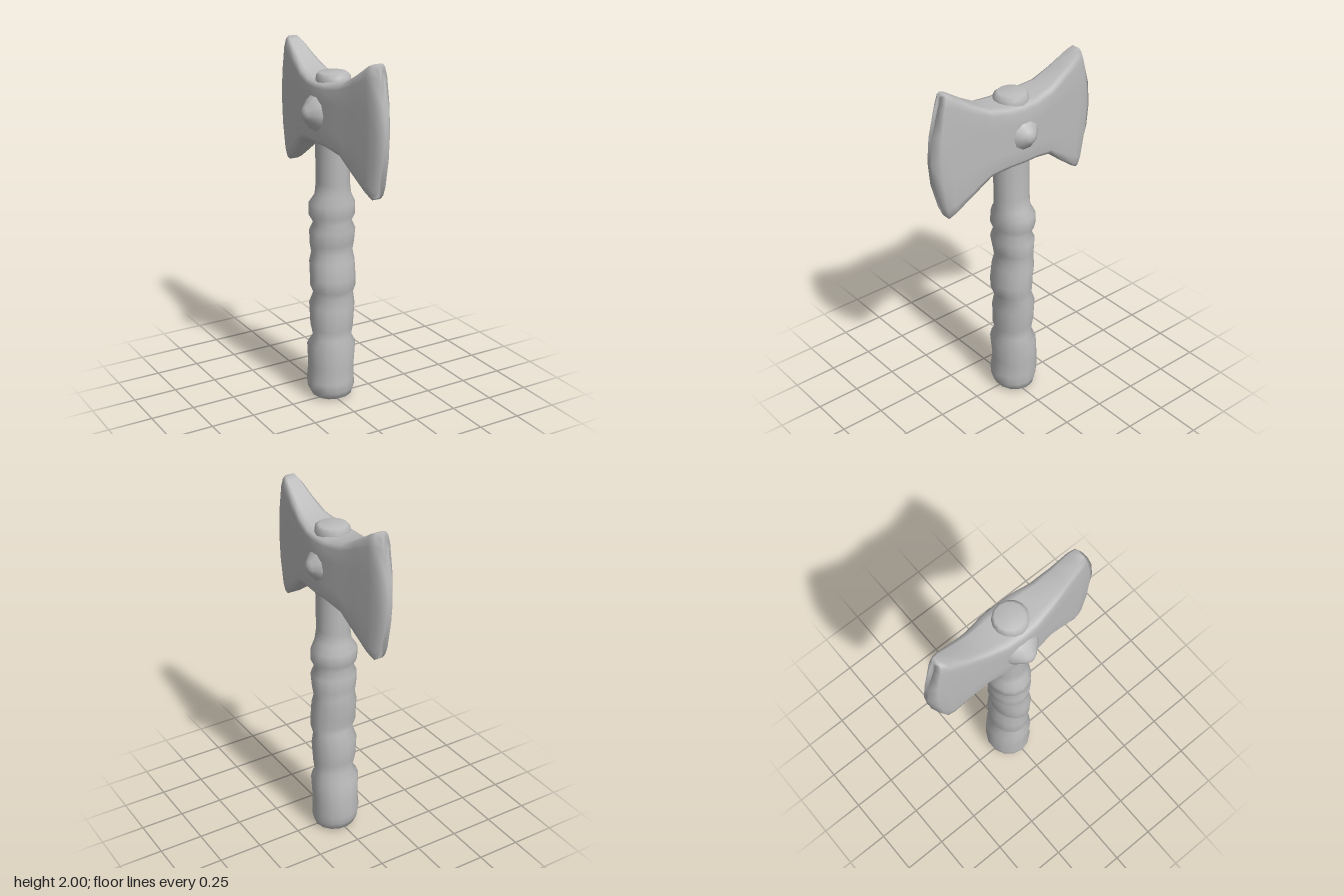
import * as THREE from 'three';

// Skin a list of equal-length point rings and close both ends.
function loft(rings) {
  const n = rings[0].length, pos = [], idx = [];
  for (const ring of rings) for (const p of ring) pos.push(...p);
  for (let i = 0; i < rings.length - 1; i++) {
    for (let j = 0; j < n; j++) {
      const a = i * n + j, b = i * n + (j + 1) % n;
      idx.push(a, a + n, b, b, a + n, b + n);
    }
  }
  for (const end of [0, rings.length - 1]) {
    const c = pos.length / 3, ring = rings[end];
    for (let k = 0; k < 3; k++) pos.push(ring.reduce((s, p) => s + p[k], 0) / n);
    for (let j = 0; j < n; j++) {
      const a = end * n + j, b = end * n + (j + 1) % n;
      if (end === 0) idx.push(c, a, b); else idx.push(c, b, a);
    }
  }
  const g = new THREE.BufferGeometry();
  g.setAttribute('position', new THREE.Float32BufferAttribute(pos, 3));
  g.setIndex(idx);
  g.computeVertexNormals();
  return g;
}

// Handle ring from its extents; tilt slants the wrapped grip.
function handleRing([y, x0, x1, z0, z1, tilt = 0]) {
  return Array.from({ length: 14 }, (_, j) => {
    const a = j / 14 * Math.PI * 2;
    const z = (z0 + z1) / 2 + Math.sin(a) * (z1 - z0) / 2;
    return [(x0 + x1) / 2 + Math.cos(a) * (x1 - x0) / 2, y - tilt * z, z];
  });
}

// Half outline of a blade section: thickness factor, height from -1 to 1.
const half = [[0.6, 1], [0.88, 0.95], [1, 0.82], [1, 0.4], [1, 0],
  [1, -0.4], [1, -0.82], [0.88, -0.95], [0.6, -1]];
const outline = [...half, ...half.map(([x, q]) => [-x, q]).reverse()];

function bladeRing([zTip, zMid, top, bottom, t], side) {
  return outline.map(([x, q]) => [
    0.01 + x * t,
    (top + bottom) / 2 + q * (top - bottom) / 2,
    side * (zMid + (zTip - zMid) * q * q),
  ]);
}

export function createModel() {
  const model = new THREE.Group();
  const stone = new THREE.MeshStandardMaterial({ color: 0xbcbcbc });
  stone.name = 'plain grey';
  const add = (name, geometry) => {
    const mesh = new THREE.Mesh(geometry, stone);
    mesh.name = name;
    model.add(mesh);
    return mesh;
  };

  // Wrapped grip, pommel and shaft: y, x range, z range, tilt
  add('handle', loft([
    [0.005, -0.08, 0.10, -0.10, 0.07],
    [0.02, -0.105, 0.13, -0.13, 0.095],
    [0.06, -0.125, 0.14, -0.145, 0.113],
    [0.11, -0.13, 0.14, -0.153, 0.115],
    [0.20, -0.12, 0.142, -0.148, 0.105],
    [0.33, -0.132, 0.147, -0.138, 0.113],
    [0.375, -0.10, 0.125, -0.105, 0.085, 0.1],
    [0.44, -0.113, 0.132, -0.122, 0.10, 0.15],
    [0.57, -0.12, 0.143, -0.125, 0.10, 0.2],
    [0.635, -0.10, 0.134, -0.10, 0.085, 0.2],
    [0.68, -0.122, 0.142, -0.105, 0.105, 0.2],
    [0.74, -0.122, 0.14, -0.11, 0.112, 0.1],
    [0.83, -0.12, 0.14, -0.12, 0.10],
    [0.88, -0.106, 0.13, -0.115, 0.087],
    [0.93, -0.117, 0.138, -0.115, 0.092],
    [1.01, -0.12, 0.14, -0.122, 0.11],
    [1.055, -0.10, 0.12, -0.10, 0.09],
    [1.095, -0.12, 0.14, -0.126, 0.108],
    [1.165, -0.12, 0.14, -0.126, 0.107],
    [1.21, -0.09, 0.112, -0.10, 0.098],
    [1.28, -0.08, 0.10, -0.10, 0.098],
    [1.50, -0.085, 0.10, -0.10, 0.105],
    [1.83, -0.085, 0.105, -0.09, 0.10],
    [1.865, -0.08, 0.10, -0.088, 0.098],
    [1.88, -0.065, 0.085, -0.075, 0.075],
  ].map(handleRing)));

  // Double blade, mirrored front to back: z at tips, z at middle, top, bottom, half thickness
  const sections = [
    [0.09, 0.09, 1.845, 1.50, 0.112],
    [0.20, 0.20, 1.865, 1.475, 0.09],
    [0.30, 0.31, 1.92, 1.395, 0.072],
    [0.40, 0.42, 1.985, 1.32, 0.056],
    [0.435, 0.485, 2.0, 1.30, 0.043],
    [0.45, 0.53, 1.985, 1.315, 0.012],
  ];
  // Outline turns from +y to -y on the +x side, matching sections running toward +z.
  add('doubleBlade', loft([
    ...[...sections].reverse().map(s => bladeRing(s, -1)),
    bladeRing([0, 0, 1.84, 1.50, 0.116], 1),
    ...sections.map(s => bladeRing(s, 1)),
  ]));

  // Rounded studs on both cheeks of the head
  for (const side of [1, -1]) {
    const profile = [[0.11, 0.08], [0.09, 0.115], [0.065, 0.135], [0.038, 0.16], [0.018, 0.171], [0, 0.172]]
      .map(([r, h]) => new THREE.Vector2(r, h));
    const stud = add(side > 0 ? 'leftStud' : 'rightStud', new THREE.LatheGeometry(profile, 10));
    stud.rotation.z = -side * Math.PI / 2;
    stud.position.set(0, 1.67, -0.005);
  }
  return model;
}
